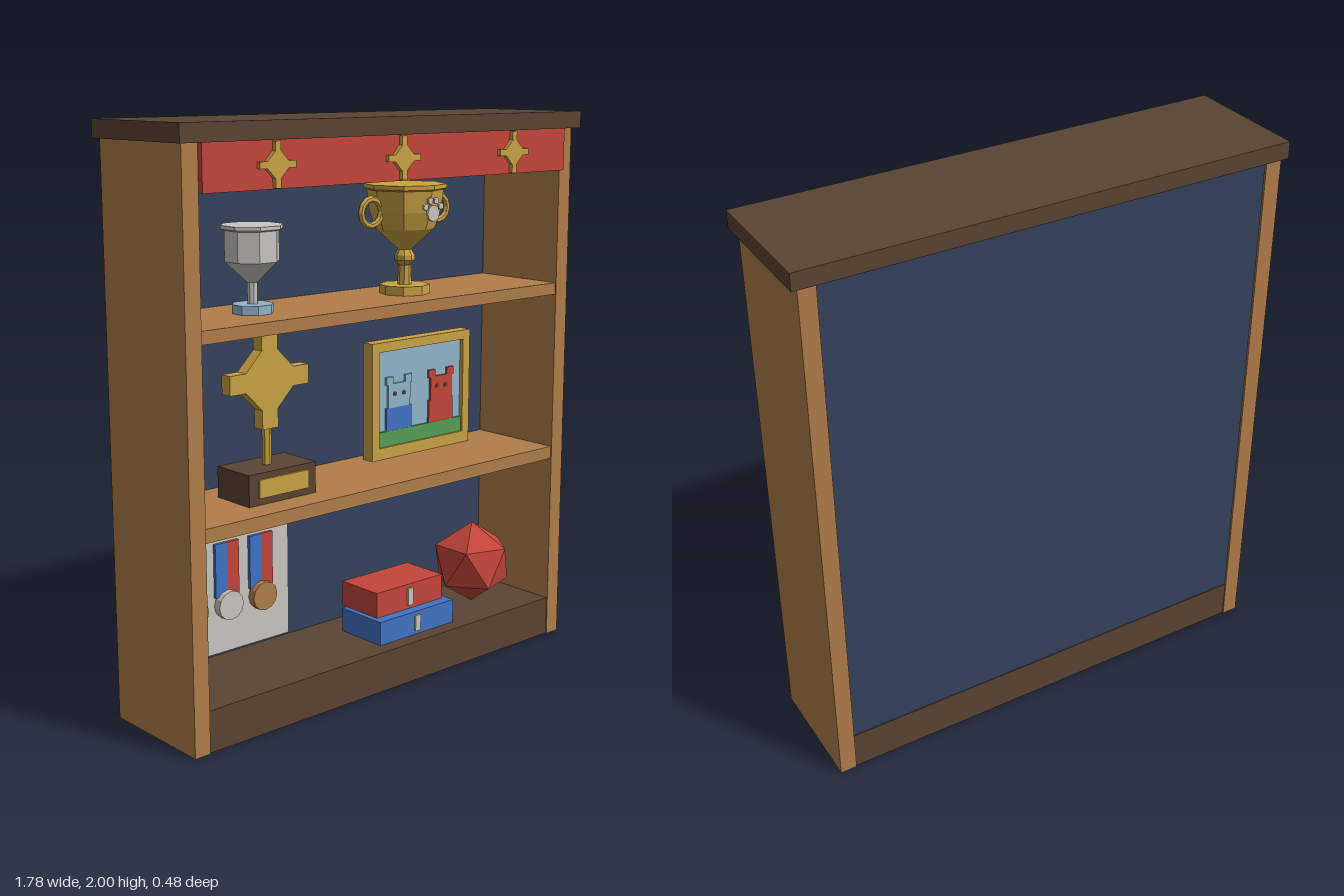
import * as THREE from 'three';

const colours = {
  wood: 0xb27d4a, darkWood: 0x5a4433, navy: 0x35425e, red: 0xc5453a, gold: 0xc9a243,
  silver: 0xcac6c0, blue: 0x4173c4, paleBlue: 0x90b5ca, green: 0x549f55,
};
const mats = {};
for (const [name, color] of Object.entries(colours)) {
  mats[name] = new THREE.MeshStandardMaterial({ color });
  mats[name].name = name;
}

// Faceted mesh with one flat normal per face
function add(parent, name, geo, mat, x = 0, y = 0, z = 0) {
  const g = geo.index ? geo.toNonIndexed() : geo;
  g.computeVertexNormals();
  const mesh = new THREE.Mesh(g, mats[mat]);
  mesh.name = name;
  mesh.position.set(x, y, z);
  parent.add(mesh);
  return mesh;
}

// Box given by its limits on each axis
function box(parent, name, mat, [x0, x1], [y0, y1], [z0, z1]) {
  return add(parent, name, new THREE.BoxGeometry(x1 - x0, y1 - y0, z1 - z0), mat,
    (x0 + x1) / 2, (y0 + y1) / 2, (z0 + z1) / 2);
}

function group(parent, name, x = 0, y = 0, z = 0) {
  const g = new THREE.Group();
  g.name = name;
  g.position.set(x, y, z);
  parent.add(g);
  return g;
}

function lathe(profile, sides = 8, turn = 0) {
  return new THREE.LatheGeometry(profile.map(p => new THREE.Vector2(...p)), sides).rotateY(turn);
}

// Four-armed star: arm length, half width, and where the diagonals meet the arms
function starGeometry(length, half, inner, depth) {
  const quarter = [[half, length], [half, inner], [inner, half], [length, half]];
  const pts = [];
  for (let i = 0; i < 4; i++) {
    for (const [px, py] of quarter) {
      pts.push(new THREE.Vector2(px, py).rotateAround(new THREE.Vector2(), -i * Math.PI / 2));
    }
  }
  return new THREE.ExtrudeGeometry(new THREE.Shape(pts), { depth, bevelEnabled: false })
    .translate(0, 0, -depth / 2);
}

// Short cylinder facing forwards
const disc = (r, depth, sides) => new THREE.CylinderGeometry(r, r, depth, sides).rotateX(Math.PI / 2);

function buildCabinet(root) {
  const g = group(root, 'cabinet');
  const inside = [-0.81, 0.81];
  box(g, 'topBoard', 'darkWood', [-0.892, 0.892], [1.94, 2], [-0.24, 0.23]);
  box(g, 'leftSide', 'wood', [0.81, 0.87], [0, 1.94], [-0.23, 0.205]);
  box(g, 'rightSide', 'wood', [-0.87, -0.81], [0, 1.94], [-0.23, 0.205]);
  box(g, 'base', 'darkWood', inside, [0, 0.145], [-0.225, 0.2]);
  box(g, 'backPanel', 'navy', inside, [0.145, 1.94], [-0.222, -0.17]);
  box(g, 'lowerShelf', 'wood', inside, [0.703, 0.75], [-0.17, 0.2]);
  box(g, 'upperShelf', 'wood', inside, [1.332, 1.375], [-0.17, 0.2]);
  box(g, 'banner', 'red', inside, [1.79, 1.94], [0.2, 0.225]);
  for (const x of [-0.533, 0, 0.53]) {
    add(g, 'bannerStar', starGeometry(0.072, 0.011, 0.042, 0.02), 'gold', x, 1.865, 0.23);
  }
}

function buildSilverCup(root) {
  const g = group(root, 'silverCup', -0.465, 1.375, 0.015);
  const turn = Math.PI / 8;
  add(g, 'foot', lathe([[0, 0], [0.07, 0], [0.07, 0.03], [0, 0.03]], 8, turn), 'paleBlue');
  add(g, 'bowl', lathe([[0, 0.03], [0.018, 0.03], [0.018, 0.1], [0.092, 0.17], [0.092, 0.27],
    [0.105, 0.275], [0.105, 0.287], [0, 0.287]], 8, turn), 'silver');
}

function buildGoldCup(root) {
  const g = group(root, 'goldCup', 0.215, 1.375, 0.015);
  add(g, 'bowl', lathe([[0, 0], [0.09, 0], [0.09, 0.032], [0.025, 0.032], [0.022, 0.1], [0.036, 0.118],
    [0.036, 0.135], [0.024, 0.155], [0.105, 0.23], [0.125, 0.29], [0.135, 0.365], [0.147, 0.37],
    [0.147, 0.385], [0, 0.385]]), 'gold');
  for (const s of [-1, 1]) {
    add(g, 'handle', new THREE.TorusGeometry(0.046, 0.012, 6, 12), 'gold', s * 0.16, 0.293, 0);
  }
  // Paw badge on the bowl
  const paw = group(g, 'pawBadge', 0, 0.3, 0.14);
  add(paw, 'pad', disc(0.029, 0.009, 8), 'silver', 0, -0.01, 0);
  for (const [x, y] of [[-0.036, 0.013], [-0.014, 0.033], [0.014, 0.033], [0.036, 0.013]]) {
    add(paw, 'toe', disc(0.012, 0.009, 6), 'silver', x, y, 0);
  }
}

function buildStarTrophy(root) {
  const g = group(root, 'starTrophy', -0.415, 0.75, 0.015);
  box(g, 'plinth', 'darkWood', [-0.142, 0.142], [0, 0.108], [-0.085, 0.085]);
  box(g, 'plaque', 'gold', [-0.104, 0.104], [0.025, 0.088], [0.085, 0.094]);
  add(g, 'stem', new THREE.CylinderGeometry(0.016, 0.016, 0.2, 6), 'gold', 0, 0.205, 0);
  add(g, 'star', starGeometry(0.165, 0.033, 0.1, 0.045), 'gold', 0, 0.398, 0);
}

function buildPicture(root) {
  const g = group(root, 'framedPicture', 0.395, 0.75, -0.1);
  for (const s of [-1, 1]) {
    const xs = [s * 0.215, s * 0.25].sort((a, b) => a - b);
    box(g, 'frameSide', 'gold', xs, [0, 0.435], [-0.025, 0.025]);
  }
  box(g, 'frameBottom', 'gold', [-0.215, 0.215], [0, 0.043], [-0.025, 0.025]);
  box(g, 'frameTop', 'gold', [-0.215, 0.215], [0.4, 0.435], [-0.025, 0.025]);
  box(g, 'sky', 'paleBlue', [-0.215, 0.215], [0.043, 0.4], [-0.02, 0.008]);
  box(g, 'grass', 'green', [-0.215, 0.215], [0.043, 0.1], [0.008, 0.017]);
  // Two small cats side by side
  for (const [x, body, head] of [[-0.108, 'blue', 'paleBlue'], [0.108, 'red', 'red']]) {
    const cat = group(g, 'paintedCat', x, 0.1, 0.012);
    box(cat, 'body', body, [-0.063, 0.063], [0, 0.085], [-0.004, 0.004]);
    box(cat, 'head', head, [-0.055, 0.055], [0.085, 0.175], [-0.004, 0.005]);
    for (const s of [-1, 1]) {
      add(cat, 'ear', new THREE.BoxGeometry(0.034, 0.03, 0.009), head, s * 0.047, 0.186, 0.0005);
      add(cat, 'eye', disc(0.009, 0.004, 6), 'darkWood', s * 0.022, 0.136, 0.006);
    }
  }
}

function buildMedals(root) {
  const g = group(root, 'medalDisplay');
  box(g, 'board', 'silver', [-0.77, -0.22], [0.175, 0.63], [-0.165, -0.118]);
  ['gold', 'silver', 'wood'].forEach((mat, i) => {
    const m = group(g, 'medal', -0.645 + i * 0.148, 0.35, -0.118);
    box(m, 'blueRibbon', 'blue', [-0.05, 0], [0.03, 0.222], [0, 0.012]);
    box(m, 'redRibbon', 'red', [0, 0.05], [0.03, 0.222], [0, 0.012]);
    add(m, 'disc', disc(0.052, 0.03, 12), mat, 0, 0, 0.018);
  });
}

function buildGames(root) {
  const g = group(root, 'stackedBoxes');
  box(g, 'blueBox', 'blue', [-0.015, 0.35], [0.145, 0.232], [-0.06, 0.145]);
  box(g, 'redBox', 'red', [0.005, 0.33], [0.232, 0.325], [-0.08, 0.105]);
  // Plain label strips on the box fronts
  box(g, 'blueBoxLabel', 'silver', [0.153, 0.178], [0.16, 0.218], [0.145, 0.152]);
  box(g, 'redBoxLabel', 'silver', [0.153, 0.178], [0.245, 0.31], [0.105, 0.112]);
  // Twenty-sided die standing on one corner
  const tilt = Math.atan(2 / (1 + Math.sqrt(5)));
  add(root, 'die', new THREE.IcosahedronGeometry(0.157, 0).rotateZ(-tilt), 'red', 0.575, 0.302, 0.02);
}

export function createModel() {
  const root = new THREE.Group();
  root.name = 'trophyCabinet';
  buildCabinet(root);
  buildSilverCup(root);
  buildGoldCup(root);
  buildStarTrophy(root);
  buildPicture(root);
  buildMedals(root);
  buildGames(root);
  return root;
}
